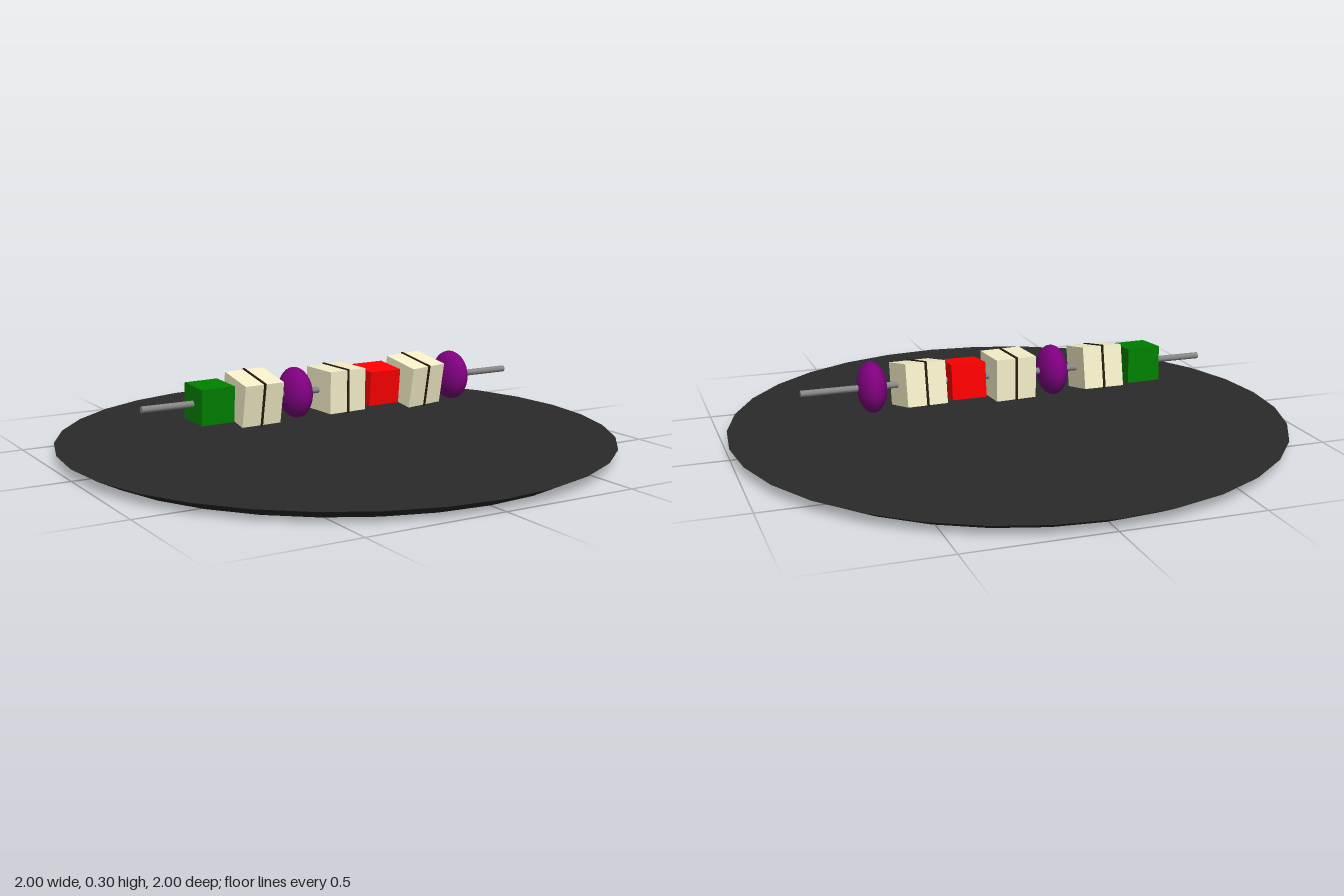
import * as THREE from 'three';

const mat = (color, flatShading = false) => new THREE.MeshStandardMaterial({ color, flatShading });

export function createModel() {
  const model = new THREE.Group();
  model.name = 'skewerOnPlate';
  const axisY = 0.21;

  const add = (name, geometry, material, parent = model) => {
    const mesh = new THREE.Mesh(geometry, material);
    mesh.name = name;
    parent.add(mesh);
    return mesh;
  };

  // Dark plate with a flared rim
  const plate = add('plate', new THREE.CylinderGeometry(1, 0.92, 0.04, 32), mat(0x2a2a2a));
  plate.position.y = 0.02;

  // Metal rod running through all the pieces
  const rod = add('skewerRod', new THREE.CylinderGeometry(0.012, 0.012, 1.5, 8), mat(0x888888));
  rod.rotation.z = Math.PI / 2;
  rod.position.y = axisY;

  // Meat cubes, each with a thin grill mark wrapped around the middle
  const meatMat = mat(0xf5efc8), markMat = mat(0x2a1a0e);
  const meatGeo = new THREE.BoxGeometry(0.15, 0.15, 0.15);
  const markGeo = new THREE.BoxGeometry(0.008, 0.157, 0.157);
  [[-0.335, 0.2, 0.035], [0, 0.01, 0.075], [0.333, 0.2, 0.14]].forEach(([x, rx, ry]) => {
    const piece = new THREE.Group();
    piece.name = 'meatPiece';
    add('meatCube', meatGeo, meatMat, piece);
    add('grillMark', markGeo, markMat, piece);
    piece.position.set(x, axisY, 0);
    piece.rotation.set(rx, ry, 0);
    model.add(piece);
  });

  // Green and red pepper cubes
  const pepperGeo = new THREE.BoxGeometry(0.125, 0.125, 0.125);
  [['greenPepper', -0.5, 0x008000, 0.06, 0.05], ['redPepper', 0.167, 0xff0000, 0.1, 0.02]]
    .forEach(([name, x, color, rx, ry]) => {
      const pepper = add(name, pepperGeo, mat(color));
      pepper.position.set(x, axisY, 0);
      pepper.rotation.set(rx, ry, 0);
    });

  // Flattened purple onions
  const onionGeo = new THREE.SphereGeometry(0.09, 24, 16);
  const onionMat = mat(0x800080);
  for (const x of [-0.167, 0.5]) {
    const onion = add('onion', onionGeo, onionMat);
    onion.position.set(x, axisY, 0);
    onion.scale.x = 0.56;
  }

  return model;
}
